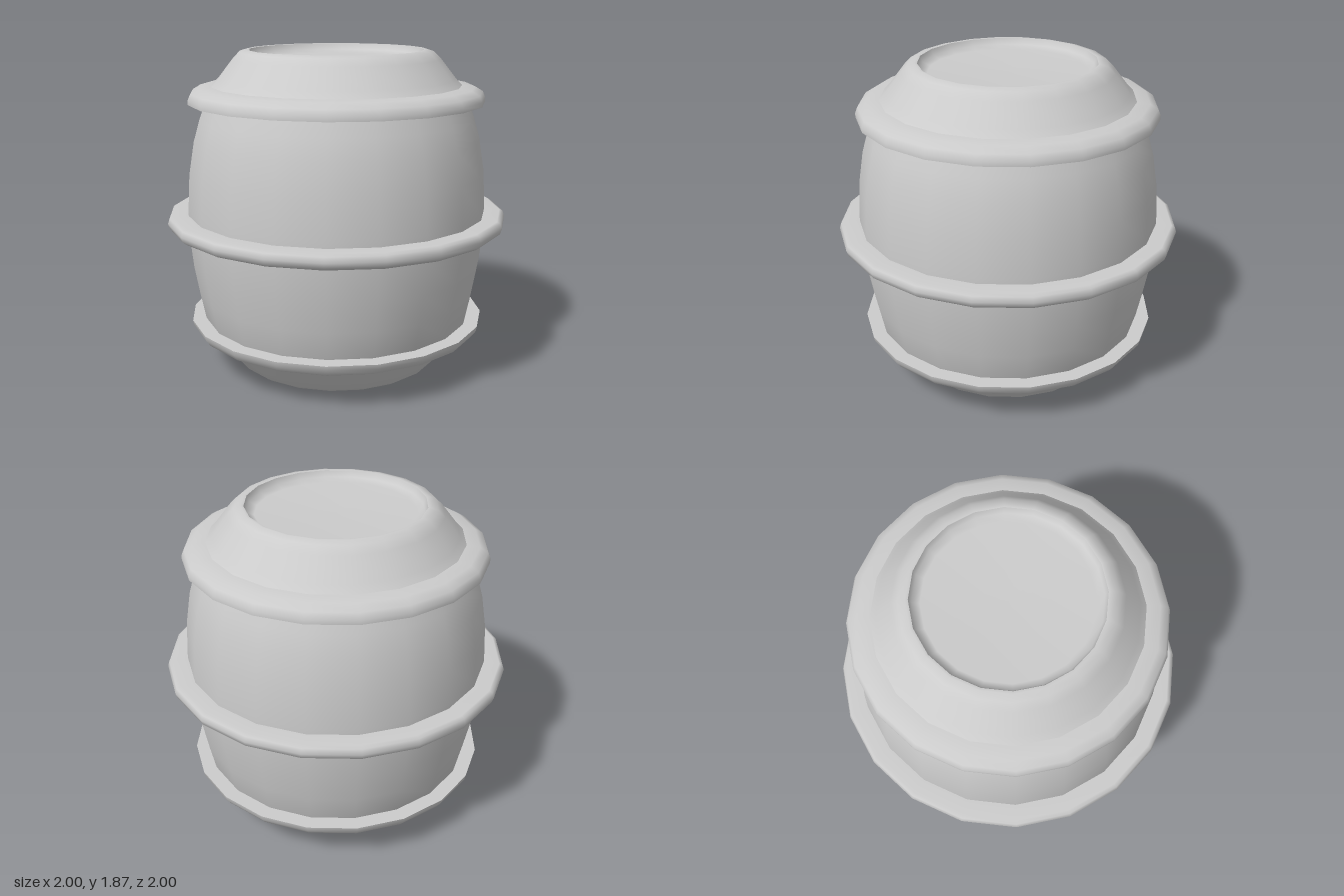
import * as THREE from 'three';

const SIDES = 20;

export function createModel() {
  const barrel = new THREE.Group();
  barrel.name = 'barrel';
  const material = new THREE.MeshStandardMaterial({ color: 0xcccccc, side: THREE.DoubleSide });

  // Revolves a profile of [radius, height] points, listed from bottom to top on the outside
  function turned(name, profile, parent = barrel) {
    const points = profile.map(([r, y]) => new THREE.Vector2(r, y));
    const mesh = new THREE.Mesh(new THREE.LatheGeometry(points, SIDES), material);
    mesh.name = name;
    parent.add(mesh);
    return mesh;
  }

  // Bulging staves
  turned('staves', [
    [0.76, 0.22], [0.80, 0.30], [0.83, 0.45], [0.86, 0.62], [0.88, 0.82],
    [0.88, 0.96], [0.867, 1.17], [0.835, 1.36], [0.80, 1.48], [0.76, 1.59],
  ]);

  // Middle hoop
  turned('middleHoop', [
    [0.87, 0.845], [0.97, 0.845], [0.99, 0.86], [1.0, 0.89], [0.99, 0.92], [0.97, 0.93], [0.87, 0.93],
  ]);

  // Lower hoop: rounded below, flat ledge above
  const lowerHoop = new THREE.Group();
  lowerHoop.name = 'lowerHoop';
  barrel.add(lowerHoop);
  turned('lowerHoopBand', [[0.74, 0.19], [0.80, 0.20], [0.85, 0.225], [0.875, 0.26], [0.88, 0.288]], lowerHoop);
  turned('lowerHoopLedge', [[0.88, 0.288], [0.78, 0.288]], lowerHoop);

  // Upper hoop: flat ledge below, rounded above
  const upperHoop = new THREE.Group();
  upperHoop.name = 'upperHoop';
  barrel.add(upperHoop);
  turned('upperHoopLedge', [[0.74, 1.57], [0.86, 1.57]], upperHoop);
  turned('upperHoopBand', [[0.86, 1.57], [0.86, 1.595], [0.845, 1.63], [0.80, 1.657], [0.72, 1.665]], upperHoop);

  // Tapered base with a shallow hollow underneath
  turned('base', [
    [0, 0.06], [0.44, 0.06], [0.49, 0.045], [0.52, 0.01], [0.545, 0.0],
    [0.58, 0.005], [0.61, 0.025], [0.66, 0.085], [0.75, 0.195],
  ]);

  // Tapered shoulder, rolled rim and sunken lid
  turned('shoulder', [
    [0.73, 1.66], [0.69, 1.70], [0.60, 1.815], [0.56, 1.855], [0.52, 1.867], [0.505, 1.865],
  ]);
  turned('lid', [[0.505, 1.865], [0.49, 1.83], [0.45, 1.81], [0, 1.805]]);

  return barrel;
}
